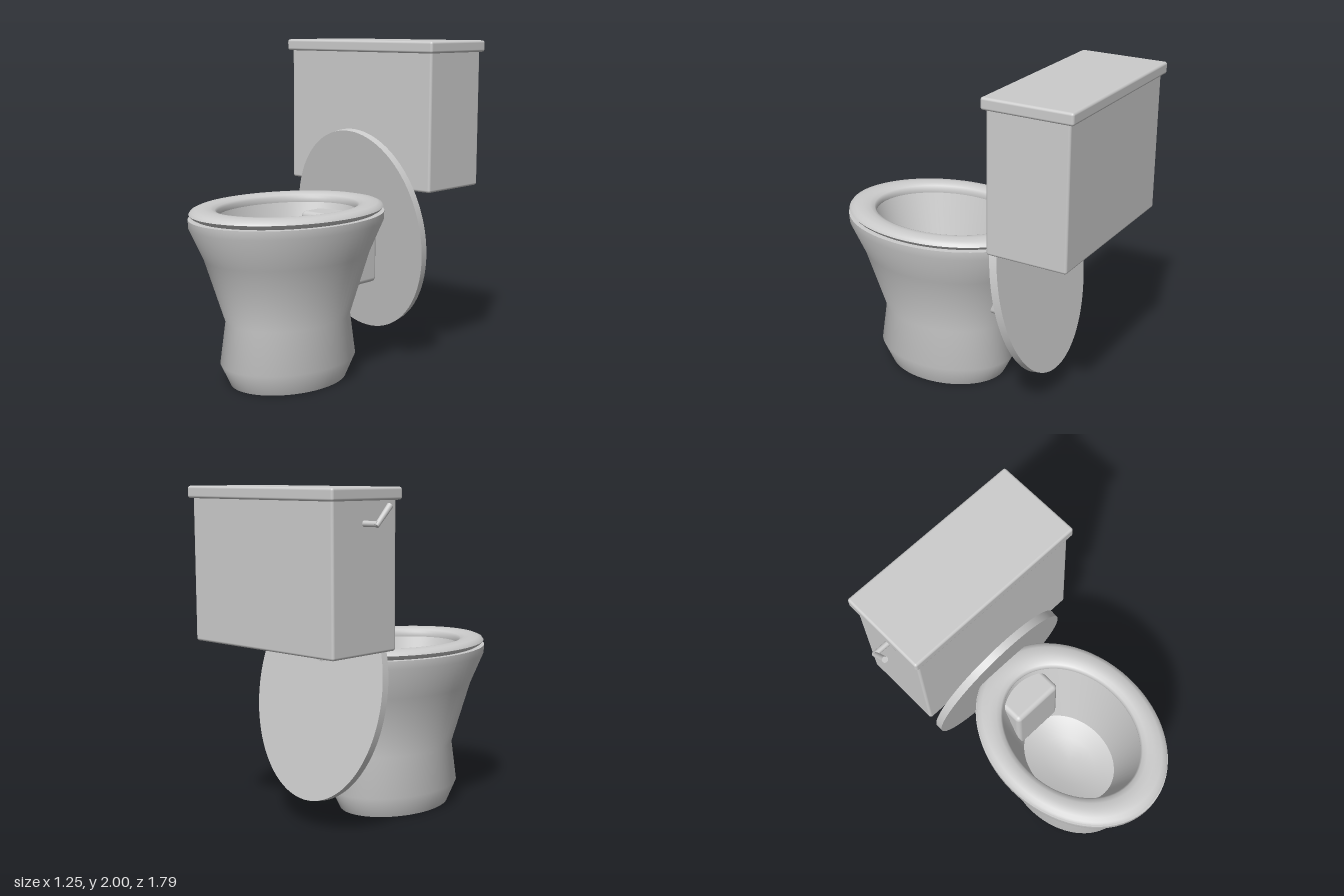
import * as THREE from 'three';
import { toCreasedNormals } from 'three/addons/utils/BufferGeometryUtils.js';
import { RoundedBoxGeometry } from 'three/addons/geometries/RoundedBoxGeometry.js';

const CX = 0.04; // the fixture's own centre line; the handle overhangs on one side
const BOWL_Z = 0.25;
const OVAL = 1.3; // depth to width ratio of every oval part

export function createModel() {
  const model = new THREE.Group();
  model.name = 'toilet';
  const material = new THREE.MeshStandardMaterial({ color: 0xcccccc });

  function add(name, geometry, x, y, z, parent = model) {
    const mesh = new THREE.Mesh(geometry, material);
    mesh.name = name;
    mesh.position.set(x, y, z);
    parent.add(mesh);
    return mesh;
  }

  // Oval turned body from [radius, height] pairs
  function ovalLathe(profile, crease) {
    const geometry = new THREE.LatheGeometry(profile.map(([r, y]) => new THREE.Vector2(r, y)), 72);
    geometry.scale(1, 1, OVAL);
    return toCreasedNormals(geometry, crease);
  }

  // Rounded box from its min and max corners
  function box(name, [x0, y0, z0], [x1, y1, z1], radius) {
    const geometry = new RoundedBoxGeometry(x1 - x0, y1 - y0, z1 - z0, 4, radius);
    return add(name, geometry, (x0 + x1) / 2, (y0 + y1) / 2, (z0 + z1) / 2);
  }

  // Rod between two points
  function rod(name, from, to, r0, r1, parent) {
    const a = new THREE.Vector3(...from), b = new THREE.Vector3(...to);
    const dir = b.clone().sub(a);
    const geometry = new THREE.CylinderGeometry(r1, r0, dir.length(), 16);
    const mid = a.clone().add(b).multiplyScalar(0.5);
    const mesh = add(name, geometry, mid.x, mid.y, mid.z, parent);
    mesh.quaternion.setFromUnitVectors(new THREE.Vector3(0, 1, 0), dir.normalize());
  }

  // Pedestal and bowl in one shell: foot, waist, rim, then down the inside
  add('bowl', ovalLathe([
    [0, 0], [0.3, 0], [0.35, 0.13], [0.322, 0.38], [0.425, 0.76], [0.498, 0.95], [0.5, 1],
    [0.365, 1], [0.25, 0.5], [0.14, 0.45], [0, 0.43],
  ], 0.9), CX, 0, BOWL_Z);

  // Seat ring with softly rounded edges
  add('seat', ovalLathe([
    [0.36, 1], [0.465, 1], [0.484, 1.012], [0.496, 1.028], [0.487, 1.043], [0.465, 1.054],
    [0.425, 1.06], [0.39, 1.055], [0.367, 1.045], [0.357, 1.03], [0.36, 1],
  ], 0.9), CX, 0, BOWL_Z);

  // Flat oval lid, tipped against the tank
  const lidShape = new THREE.Shape().absellipse(0, 0, 0.5, 0.65, 0, Math.PI * 2);
  const lidGeometry = new THREE.ExtrudeGeometry(lidShape, { depth: 0.048, bevelEnabled: false, curveSegments: 72 });
  lidGeometry.translate(0, 0, -0.024);
  add('lid', toCreasedNormals(lidGeometry, 0.6), CX, 0.815, -0.405).rotation.x = 0.176;

  // Block joining the back of the bowl
  box('rearBlock', [-0.13, 0.51, -0.37], [0.21, 0.96, -0.03], 0.03);

  // Tank and its cover
  box('tank', [-0.52, 1.105, -0.87], [0.6, 1.95, -0.375], 0.015);
  box('tankCover', [-0.545, 1.93, -0.895], [0.62, 2, -0.35], 0.015);

  // Flush handle: short spindle and a raised lever
  const handle = new THREE.Group();
  handle.name = 'flushHandle';
  model.add(handle);
  rod('handleSpindle', [-0.51, 1.81, -0.63], [-0.615, 1.81, -0.63], 0.017, 0.015, handle);
  rod('handleLever', [-0.612, 1.8, -0.638], [-0.612, 1.905, -0.53], 0.014, 0.018, handle);

  return model;
}
